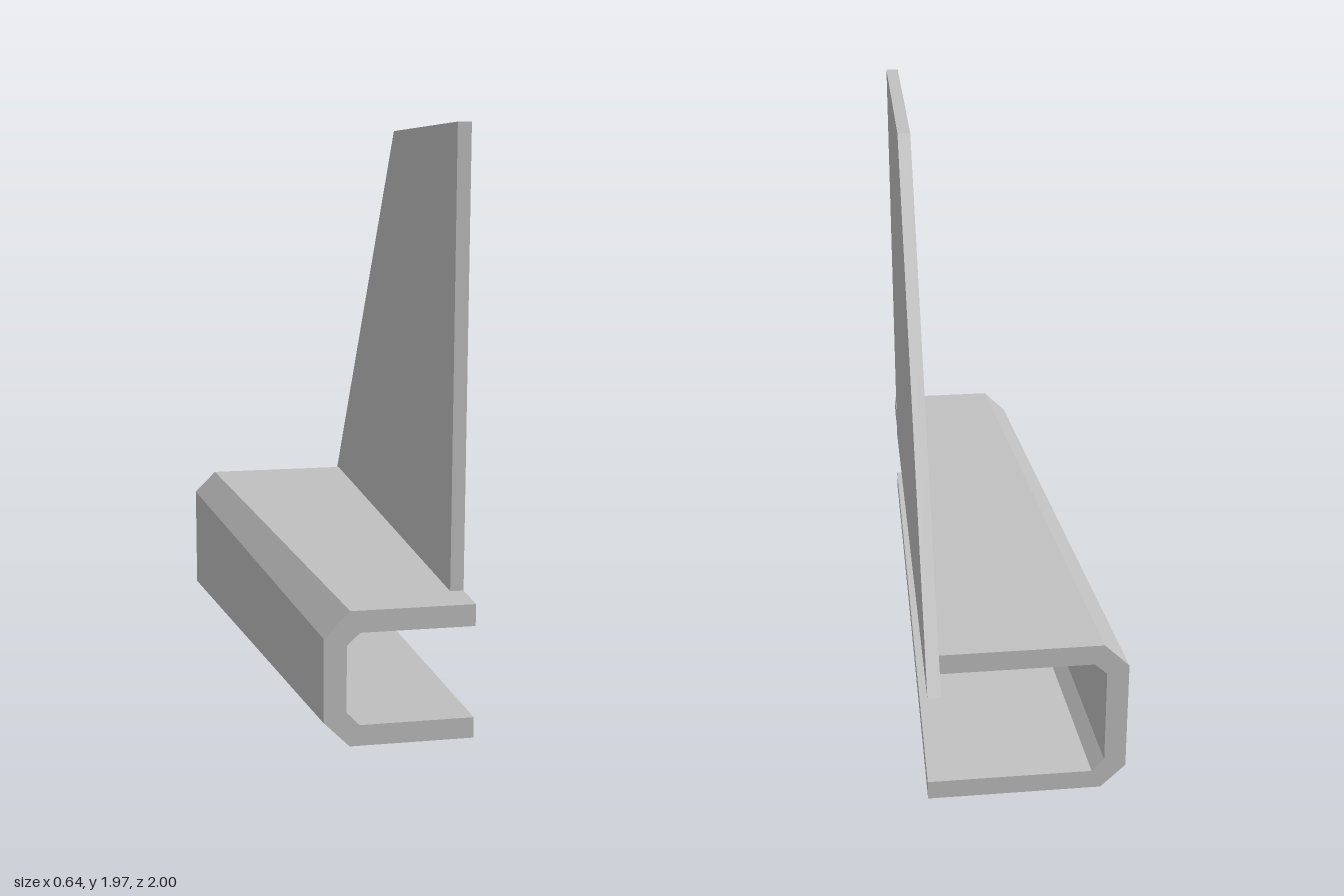
import * as THREE from 'three';

const FRONT = 1, BACK = -0.91;

const polygon = (points) => new THREE.Shape(points.map(([a, b]) => new THREE.Vector2(a, b)));

export function createModel() {
  const group = new THREE.Group();
  const grey = new THREE.MeshStandardMaterial({ color: 0xc0c0c0 });
  grey.name = 'light grey';

  // C-shaped channel with bevelled corners, open towards +x
  const section = polygon([
    [0.32, 0.14], [0.32, 0.205], [-0.03, 0.205], [-0.07, 0.247], [-0.07, 0.455], [-0.03, 0.492],
    [0.32, 0.492], [0.32, 0.56], [-0.06, 0.56], [-0.14, 0.48], [-0.14, 0.22], [-0.06, 0.14],
  ]);
  const channelGeometry = new THREE.ExtrudeGeometry(section, { depth: FRONT - BACK, bevelEnabled: false });
  channelGeometry.translate(0, 0, BACK);

  // Towards the back the web moves outward and the lower flange drops
  const p = channelGeometry.attributes.position;
  for (let i = 0; i < p.count; i++) {
    const t = (FRONT - p.getZ(i)) / (FRONT - BACK);
    const x = p.getX(i), y = p.getY(i);
    p.setXY(i, x < 0.1 ? x - 0.18 * t : x, y - (y < 0.3 ? 0.14 : 0.018) * t);
  }
  channelGeometry.computeVertexNormals();
  const channel = new THREE.Mesh(channelGeometry, grey);
  channel.name = 'channel';

  // Upright fin along the open edge, outlined in (z, y)
  const outline = polygon([[-1, 0.45], [0.863, 0.45], [0.855, 1.965], [0.045, 1.93]]);
  const finGeometry = new THREE.ExtrudeGeometry(outline, { depth: 0.042, bevelEnabled: false });
  finGeometry.rotateY(-Math.PI / 2).translate(0.32, 0, 0);
  const fin = new THREE.Mesh(finGeometry, grey);
  fin.name = 'fin';

  group.add(channel, fin);
  return group;
}
